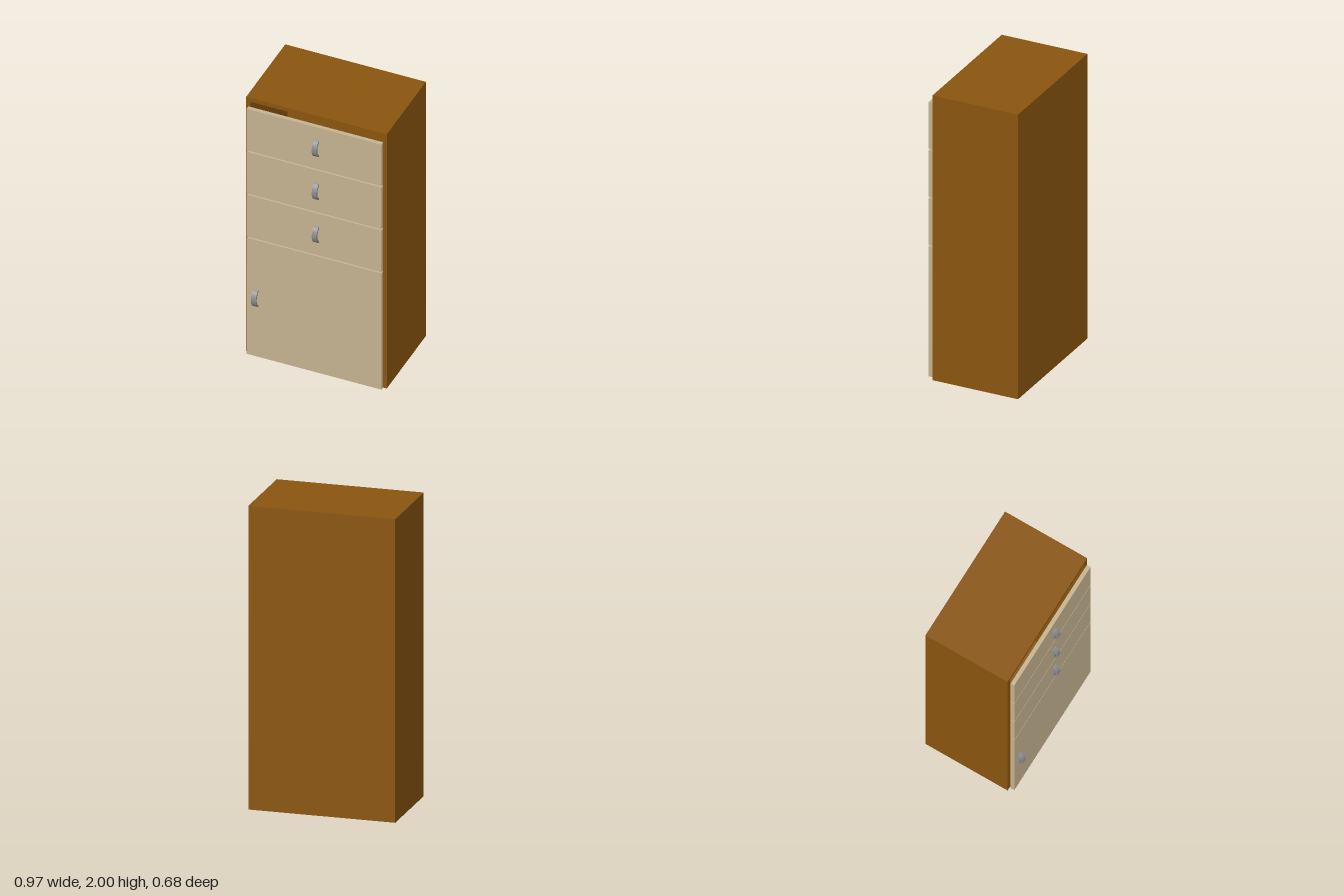
import * as THREE from 'three';

const wood = new THREE.MeshStandardMaterial({ color: 0x8b560f });
const panel = new THREE.MeshStandardMaterial({ color: 0xc8b592 });
const metal = new THREE.MeshStandardMaterial({ color: 0x8c8c90 });

// Box given by its lower and upper limits on each axis
function box(name, material, [x0, x1], [y0, y1], [z0, z1]) {
  const mesh = new THREE.Mesh(new THREE.BoxGeometry(x1 - x0, y1 - y0, z1 - z0), material);
  mesh.name = name;
  mesh.position.set((x0 + x1) / 2, (y0 + y1) / 2, (z0 + z1) / 2);
  return mesh;
}

// Upright bow handle: a half-ellipse band, extruded across its width
function handle(x, y) {
  const width = 0.034;
  const shape = new THREE.Shape();
  shape.absellipse(0, 0, 0.055, 0.067, -Math.PI / 2, Math.PI / 2, false);
  shape.absellipse(0, 0, 0.042, 0.053, Math.PI / 2, -Math.PI / 2, true);
  const geometry = new THREE.ExtrudeGeometry(shape, { depth: width, bevelEnabled: false, curveSegments: 16 });
  geometry.translate(0, 0, -width / 2);
  geometry.rotateY(-Math.PI / 2);
  const mesh = new THREE.Mesh(geometry, metal);
  mesh.name = 'handle';
  mesh.position.set(x, y, 0.285);
  return mesh;
}

export function createModel() {
  const model = new THREE.Group();
  model.name = 'drawerCabinet';

  // Open-fronted carcass: rectangular tube plus back
  const W = 0.485, T = 0.03, BACK = -0.34, FRONT = 0.265;
  const carcass = new THREE.Group();
  carcass.name = 'carcass';
  const outline = new THREE.Shape([[-W, 0], [W, 0], [W, 2], [-W, 2]].map(p => new THREE.Vector2(...p)));
  const w = W - T;
  outline.holes.push(new THREE.Path([[-w, T], [-w, 2 - T], [w, 2 - T], [w, T]].map(p => new THREE.Vector2(...p))));
  const shell = new THREE.Mesh(
    new THREE.ExtrudeGeometry(outline, { depth: FRONT - BACK, bevelEnabled: false }), wood);
  shell.name = 'shell';
  shell.position.z = BACK;
  carcass.add(shell, box('backPanel', wood, [-w, w], [T, 2 - T], [BACK, BACK + T]));
  model.add(carcass);

  // Three drawer fronts, each with a central handle
  const faceX = [-0.465, 0.465], faceZ = [0.275, 0.302];
  for (let i = 0; i < 3; i++) {
    const bottom = 1.61 - i * 0.338;
    const drawer = new THREE.Group();
    drawer.name = `drawer${i + 1}`;
    drawer.add(box('drawerFront', panel, faceX, [bottom, bottom + 0.328], faceZ), handle(0.017, bottom + 0.164));
    model.add(drawer);
  }

  // Lower door with a handle near its edge
  const door = new THREE.Group();
  door.name = 'door';
  door.add(box('doorPanel', panel, faceX, [0.01, 0.924], faceZ), handle(-0.402, 0.467));
  model.add(door);

  return model;
}
